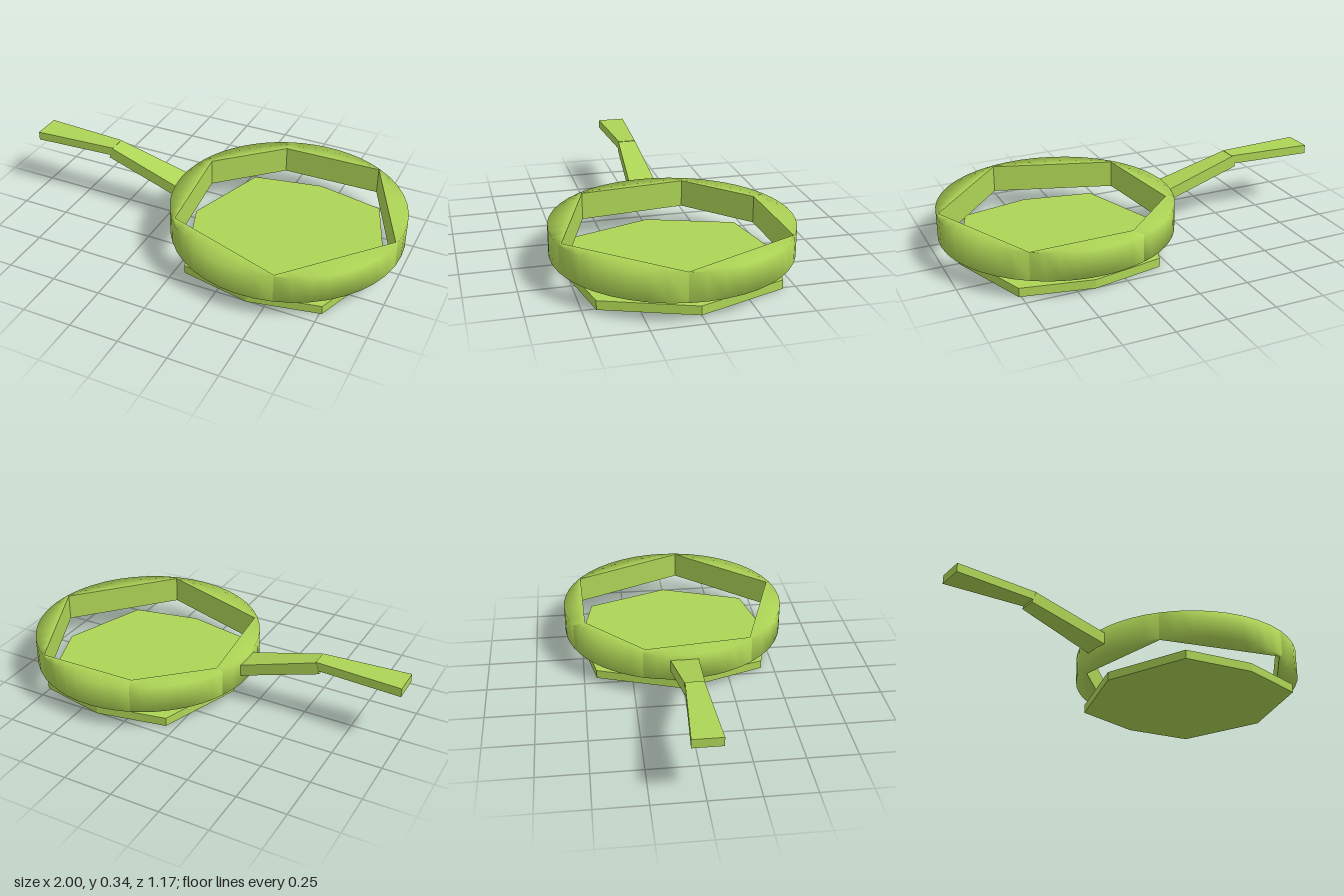
import * as THREE from 'three';

const CX = 0.41, R = 0.587, RIM_LOW = 0.105, RIM_HIGH = 0.245;

// Strip through a list of cross-sections, each a row of [x, y, z] points
function loft(rows) {
  const n = rows[0].length, index = [];
  for (let i = 0; i < rows.length - 1; i++) {
    for (let k = 0; k < n - 1; k++) {
      const a = i * n + k, b = a + n;
      index.push(a, a + 1, b + 1, a, b + 1, b);
    }
  }
  const g = new THREE.BufferGeometry();
  g.setAttribute('position', new THREE.Float32BufferAttribute(rows.flat(2), 3));
  g.setIndex(index);
  g.computeVertexNormals();
  return g;
}

// Side profile in x and y, extruded across z with a half-width that varies along x
function taperedBar(points, halfWidth) {
  const shape = new THREE.Shape(points.map(([x, y]) => new THREE.Vector2(x, y)));
  const g = new THREE.ExtrudeGeometry(shape, { depth: 2, bevelEnabled: false });
  const p = g.attributes.position;
  for (let i = 0; i < p.count; i++) {
    p.setZ(i, (p.getZ(i) - 1) * halfWidth(p.getX(i)));
  }
  g.computeVertexNormals();
  return g;
}

export function createModel() {
  const group = new THREE.Group();
  group.name = 'fryingPan';
  const green = new THREE.MeshStandardMaterial({ color: 0xaed556 });
  const add = (name, geometry, parent = group) => {
    const mesh = new THREE.Mesh(geometry, green);
    mesh.name = name;
    parent.add(mesh);
  };

  // Eight-sided base plate
  const half = [[0.92, 0], [0.76, 0.435], [0.41, 0.505], [0.05, 0.435], [-0.10, 0]];
  const outline = [...half, ...half.slice(1, 4).reverse().map(([x, z]) => [x, -z])];
  const base = new THREE.ExtrudeGeometry(
    new THREE.Shape(outline.map(([x, z]) => new THREE.Vector2(x, z))),
    { depth: 0.045, bevelEnabled: false });
  base.rotateX(-Math.PI / 2);
  add('basePlate', base);

  // Rim: round outside, six uneven flat sides inside
  const rim = new THREE.Group();
  rim.name = 'rim';
  group.add(rim);
  const corners = [[0.98, 0.08], [0.56, 0.55], [-0.04, 0.35],
    [-0.10, -0.19], [0.21, -0.48], [0.72, -0.49]];
  const steps = 8;
  corners.forEach(([x0, z0], s) => {
    const [x1, z1] = corners[(s + 1) % corners.length];
    const a0 = Math.atan2(z0, x0 - CX);
    let a1 = Math.atan2(z1, x1 - CX);
    if (a1 < a0) a1 += Math.PI * 2;
    const shell = [], inner = [];
    for (let i = 0; i <= steps; i++) {
      const t = i / steps, a = a0 + (a1 - a0) * t;
      const ix = x0 + (x1 - x0) * t, iz = z0 + (z1 - z0) * t;
      const ox = CX + R * Math.cos(a), oz = R * Math.sin(a);
      shell.push([[ix, RIM_LOW, iz], [ox, RIM_LOW, oz], [ox, RIM_HIGH, oz], [ix, RIM_HIGH, iz]]);
      inner.push([[ix, RIM_HIGH, iz], [ix, RIM_LOW, iz]]);
    }
    add('rimShell', loft(shell), rim);
    add('rimInnerWall', loft(inner), rim);
  });

  // Handle: level grip and sloping neck, narrowest where they meet
  const handle = new THREE.Group();
  handle.name = 'handle';
  group.add(handle);
  add('grip', taperedBar(
    [[-1, 0.29], [-0.575, 0.29], [-0.56, 0.335], [-1, 0.335]],
    x => 0.045 + 0.027 * (-0.56 - x) / 0.44), handle);
  add('neck', taperedBar(
    [[-0.582, 0.274], [-0.15, 0.149], [-0.15, 0.21], [-0.563, 0.333]],
    x => 0.047 + 0.025 * (x + 0.57) / 0.42), handle);

  return group;
}
